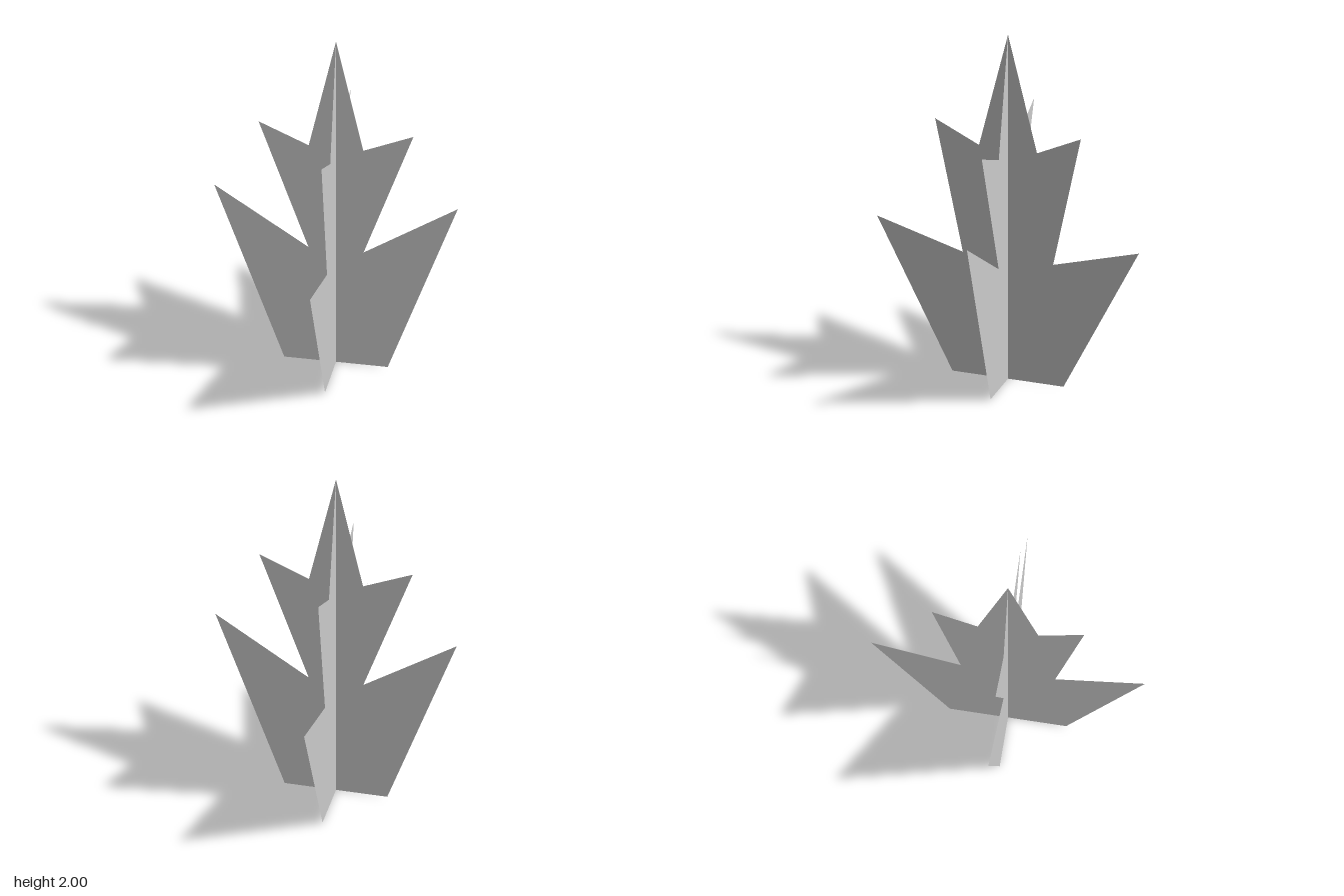
import * as THREE from 'three';

const material = new THREE.MeshStandardMaterial({ color: 0xcccccc, flatShading: true, side: THREE.DoubleSide });

// Flat symmetric leaf card from its right-hand outline, turned about its central stem line
function leafCard(name, halfOutline, angle) {
  const right = halfOutline.map(([x, y]) => new THREE.Vector2(x * Math.SQRT2, y));
  const left = right.map((p) => new THREE.Vector2(-p.x, p.y)).reverse();
  const shape = new THREE.Shape([...right, new THREE.Vector2(0, 2), ...left]);
  const card = new THREE.Mesh(new THREE.ShapeGeometry(shape), material);
  card.name = name;
  card.rotation.y = angle;
  return card;
}

export function createModel() {
  const plant = new THREE.Group();
  plant.name = 'crossedLeafPlant';

  // Outlines run base, lower tip, lower notch, upper tip, upper notch,
  // with widths measured along x after the diagonal turn
  const raisedTips = [[0.197, 0], [0.464, 1.03], [0.105, 0.7], [0.295, 1.453], [0.104, 1.335]];
  const spreadTips = [[0.22, 0], [0.519, 0.838], [0.179, 0.7], [0.289, 1.453], [0.115, 1.335]];

  plant.add(leafCard('raisedTipLeaf', raisedTips, -Math.PI / 4));
  plant.add(leafCard('spreadTipLeaf', spreadTips, Math.PI / 4));
  return plant;
}
